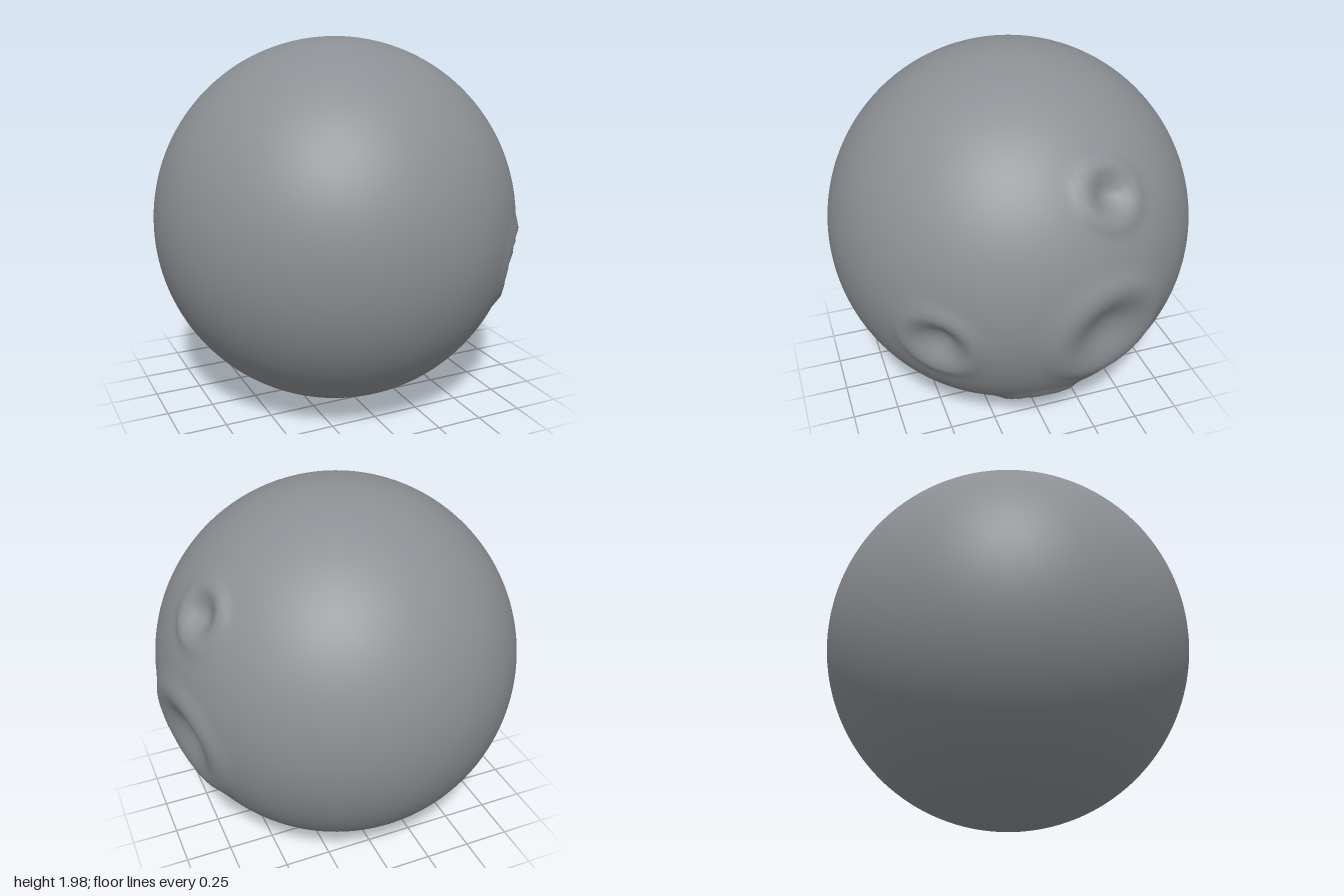
import * as THREE from 'three';

const R = 0.988;

// Craters: direction from the centre, bowl radius, depth and rim height
const craters = [
  { dir: [0.95, -0.18, -0.22], r: 0.29, depth: 0.075, rim: 0.018 },
  { dir: [0.75, -0.18, 0.61], r: 0.19, depth: 0.07, rim: 0.016 },
  { dir: [0.80, 0.53, -0.23], r: 0.15, depth: 0.055, rim: 0.02 },
  { dir: [0.60, -0.78, 0.03], r: 0.18, depth: 0.06, rim: 0.018 },
].map((c) => ({ ...c, dir: new THREE.Vector3(...c.dir).normalize() }));

// Height change at a distance d, measured in bowl radii
function craterHeight(d, depth, rim) {
  if (d < 1) {
    const t = THREE.MathUtils.smoothstep(d, 0.1, 1);
    return -depth + (depth + rim) * t;
  }
  return rim * (1 - THREE.MathUtils.smoothstep(d, 1, 1.4));
}

export function createModel() {
  const group = new THREE.Group();
  const rock = new THREE.MeshStandardMaterial({ color: 0x8c8f93 });
  rock.name = 'grey rock';

  // Smooth ball with bowls pressed in along the surface normal
  const geometry = new THREE.SphereGeometry(R, 128, 80);
  const position = geometry.attributes.position;
  const normals = geometry.attributes.normal;
  const p = new THREE.Vector3();
  for (let i = 0; i < position.count; i++) {
    p.fromBufferAttribute(position, i).normalize();
    let h = 0;
    for (const c of craters) h += craterHeight(p.angleTo(c.dir) / c.r, c.depth, c.rim);
    p.multiplyScalar(R + h);
    position.setXYZ(i, p.x, p.y, p.z);
  }

  // Recompute shading, keeping the seam (on the plain side) and poles round
  geometry.computeVertexNormals();
  for (let i = 0; i < position.count; i++) {
    p.fromBufferAttribute(position, i);
    if (Math.abs(p.length() - R) < 1e-5 && (p.x < 0 || Math.abs(p.y) > 0.97)) {
      p.normalize();
      normals.setXYZ(i, p.x, p.y, p.z);
    }
  }

  const moon = new THREE.Mesh(geometry, rock);
  moon.name = 'crateredMoon';
  moon.position.set(-0.005, R, 0);
  group.add(moon);
  return group;
}
